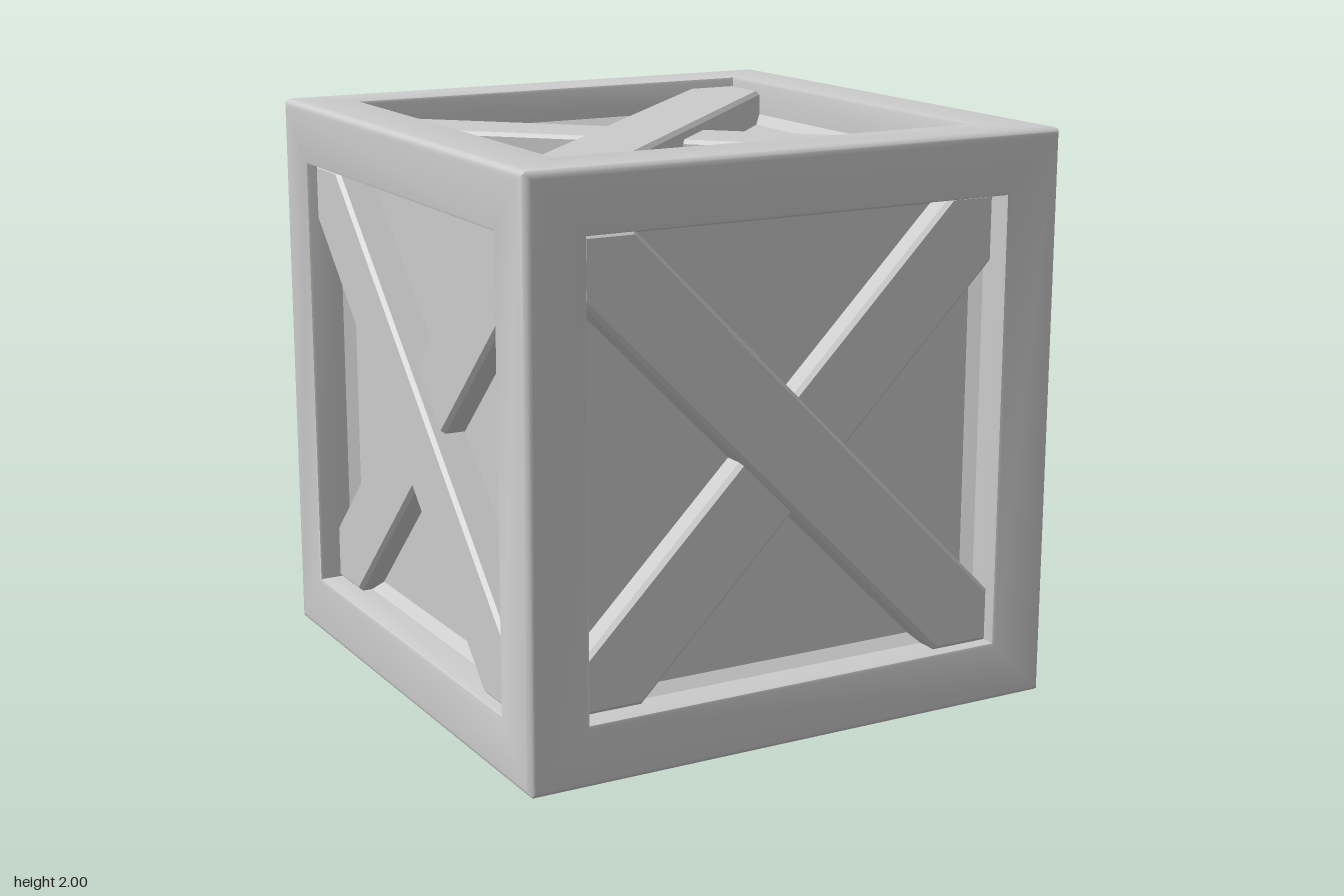
import * as THREE from 'three';
import { mergeGeometries, toCreasedNormals } from 'three/addons/utils/BufferGeometryUtils.js';

const material = new THREE.MeshStandardMaterial({ color: 0xcccccc });
const OPEN = 0.785;   // half size of each face opening
const HALF = 0.2;     // half width of a brace, measured along an axis
const FLOOR = 0.84;   // distance of the recessed panels from the centre

// rotation of each face (local z points outward), which brace lies on top, brace offsets
const faces = [
  { name: 'front', rot: [0, 0, 0], risingOnTop: false, rise: -0.03, fall: -0.015 },
  { name: 'right', rot: [0, Math.PI / 2, 0], risingOnTop: true },
  { name: 'back', rot: [0, Math.PI, 0], risingOnTop: true },
  { name: 'left', rot: [0, -Math.PI / 2, 0], risingOnTop: false },
  { name: 'top', rot: [-Math.PI / 2, 0, 0], risingOnTop: true },
  { name: 'bottom', rot: [Math.PI / 2, 0, 0], risingOnTop: false },
];

function mesh(name, geometry) {
  const m = new THREE.Mesh(geometry, material);
  m.name = name;
  return m;
}

// One face of the frame: a four-sided lathe from the rounded outer edge to the recess
function rimGeometry() {
  const r = 0.03, profile = [];
  for (let i = 0; i <= 3; i++) {
    const a = (Math.PI / 4) * (1 - i / 3);
    profile.push([1 - r + r * Math.sin(a), 1 - r + r * Math.cos(a)]);
  }
  profile.push([OPEN + 0.012, 1], [OPEN + 0.003, 0.996], [OPEN, 0.988],
    [OPEN, FLOOR + 0.035], [0.75, FLOOR - 0.002]);
  const points = profile.map(([half, out]) => new THREE.Vector2(half * Math.SQRT2, out));
  return new THREE.LatheGeometry(points, 4, Math.PI / 4).toNonIndexed().rotateX(Math.PI / 2);
}

// A diagonal plank whose ends are trimmed to the corners of the opening
function braceGeometry(rising, offset, top) {
  const a = OPEN, o = offset, w = HALF, bevel = 0.014, bottom = FLOOR - 0.03;
  let pts = [[-a, -a], [-a - o + w, -a], [a, a + o - w], [a, a], [a - o - w, a], [-a, -a + o + w]];
  if (!rising) pts = pts.map(([x, y]) => [-x, y]).reverse();
  const shape = new THREE.Shape(pts.map(([x, y]) => new THREE.Vector2(x, y)));
  return new THREE.ExtrudeGeometry(shape, {
    depth: top - bottom - 2 * bevel, bevelEnabled: true, bevelSegments: 1,
    bevelSize: bevel, bevelThickness: bevel, bevelOffset: -bevel,
  }).translate(0, 0, bottom + bevel);
}

export function createModel() {
  const model = new THREE.Group();
  model.name = 'crate';
  const body = new THREE.Group();
  body.name = 'crateBody';
  body.position.y = 1;
  model.add(body);

  // Frame: six mitred rims joined along the rounded cube edges
  const rims = faces.map(({ rot }) => {
    const matrix = new THREE.Matrix4().makeRotationFromEuler(new THREE.Euler(...rot));
    return rimGeometry().applyMatrix4(matrix);
  });
  body.add(mesh('frame', toCreasedNormals(mergeGeometries(rims), 0.6)));

  // Recessed panels
  body.add(mesh('panels', new THREE.BoxGeometry(2 * FLOOR, 2 * FLOOR, 2 * FLOOR)));

  // Crossed braces on every face
  for (const { name, rot, risingOnTop, rise = 0, fall = 0 } of faces) {
    const cross = new THREE.Group();
    cross.name = name + 'Braces';
    cross.rotation.set(...rot);
    const upper = 0.965, lower = 0.925;
    cross.add(
      mesh('risingBrace', braceGeometry(true, rise, risingOnTop ? upper : lower)),
      mesh('fallingBrace', braceGeometry(false, fall, risingOnTop ? lower : upper)),
    );
    body.add(cross);
  }
  return model;
}
